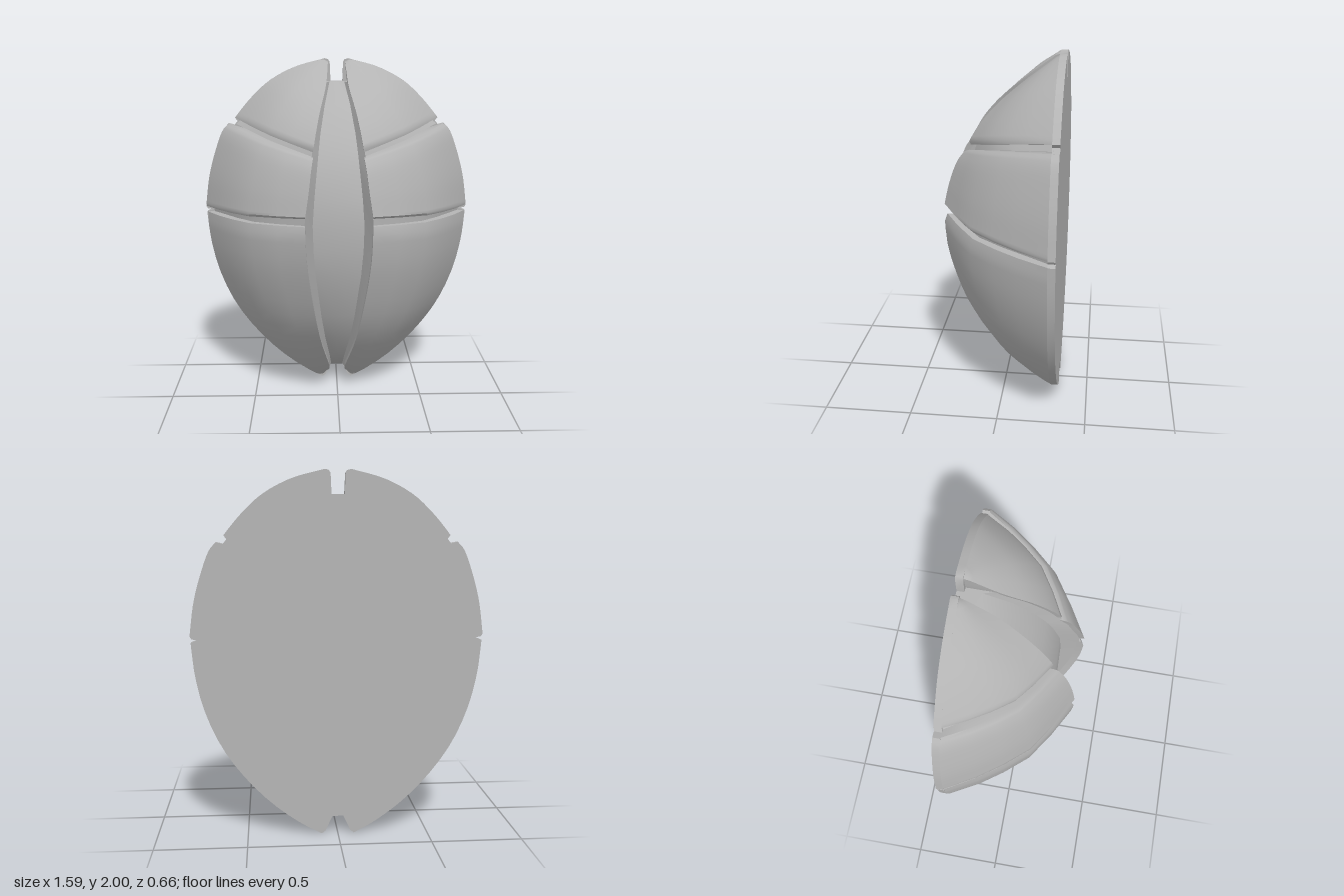
import * as THREE from 'three';
import { toCreasedNormals } from 'three/addons/utils/BufferGeometryUtils.js';

const RIM = -0.29, BACK = -0.33;
// Shell cross-section: [fraction from inner edge to rim, fraction of height]
const DOME = [[0, 1], [0.26, 0.86], [0.52, 0.69], [0.7, 0.48], [0.85, 0.27], [1, 0]];

// Each panel, top to bottom: inner edge [x, y, z] and rim [x, y]
const PANELS = [
  {
    name: 'upperPanel',
    inner: [[0.05, 1.985, -0.28], [0.065, 1.85, -0.1], [0.1, 1.72, 0.05], [0.125, 1.6, 0.15], [0.14, 1.51, 0.2]],
    rim: [[0.07, 2], [0.25, 1.95], [0.4, 1.87], [0.5, 1.78], [0.57, 1.7], [0.605, 1.655]],
  },
  {
    name: 'middlePanel',
    inner: [[0.14, 1.48, 0.21], [0.15, 1.42, 0.255], [0.165, 1.3, 0.3], [0.185, 1.165, 0.33]],
    rim: [[0.645, 1.62], [0.68, 1.58], [0.73, 1.45], [0.77, 1.3], [0.795, 1.12]],
  },
  {
    name: 'lowerPanel',
    inner: [[0.185, 1.12, 0.33], [0.18, 0.95, 0.32], [0.165, 0.8, 0.29], [0.125, 0.53, 0.2],
      [0.095, 0.36, 0.09], [0.06, 0.2, -0.06], [0.045, 0.11, -0.16], [0.06, 0.05, -0.27]],
    rim: [[0.79, 1.085], [0.77, 0.9], [0.72, 0.7], [0.63, 0.5], [0.5, 0.32], [0.35, 0.17], [0.2, 0.06], [0.09, 0]],
  },
];

const curve = (pts) => new THREE.CatmullRomCurve3(pts.map(([x, y, z = RIM]) => new THREE.Vector3(x, y, z)));

// Surface through rows of points (rows run downward, columns run to +x)
function sheet(rows, side = 1) {
  const pos = [], index = [], n = rows[0].length;
  rows.forEach((row) => row.forEach(([x, y, z]) => pos.push(x * side, y, z)));
  for (let j = 0; j < rows.length - 1; j++) {
    for (let i = 0; i < n - 1; i++) {
      const a = j * n + i, b = a + n, c = b + 1, d = a + 1;
      if (side > 0) index.push(a, b, c, a, c, d);
      else index.push(a, c, b, a, d, c);
    }
  }
  const g = new THREE.BufferGeometry();
  g.setAttribute('position', new THREE.Float32BufferAttribute(pos, 3));
  g.setIndex(index);
  return toCreasedNormals(g, 0.8);
}

// One domed row from an inner-edge point to a rim point, lowered by drop
function domeRow(p, q, drop = 0) {
  return DOME.map(([t, h]) => [
    p.x + (q.x - p.x) * t,
    p.y + (q.y - p.y) * t,
    Math.max(RIM - 0.01, RIM + (p.z - RIM) * h - drop),
  ]);
}

const foot = (row) => row.map(([x, y]) => [x, y, RIM - 0.01]);

// Raised panel with softened upper and lower edges and walls down to the base
function panelRows({ inner, rim }) {
  const ci = curve(inner), co = curve(rim);
  const steps = [0, 0.035];
  for (let k = 1; k < 14; k++) steps.push(k / 14);
  steps.push(0.965, 1);
  const rows = steps.map((v) => {
    const row = domeRow(ci.getPointAt(v), co.getPointAt(v), v === 0 || v === 1 ? 0.018 : 0);
    return [foot(row)[0], ...row];
  });
  return [foot(rows[0]), ...rows, foot(rows[rows.length - 1])];
}

// Floor of the groove between two neighbouring panels
function grooveRows(a, b) {
  const ends = [[a.inner.at(-1), a.rim.at(-1)], [b.inner[0], b.rim[0]]];
  return ends.map(([p, q]) =>
    domeRow(new THREE.Vector3(...p), new THREE.Vector3(q[0] - 0.04, q[1], RIM), 0.05));
}

// Sunken central band with sloping walls up to the panels
function spineRows() {
  // [y, half width, floor z, wall top z]
  const stations = [[1.87, 0.055, -0.2, -0.15], [1.75, 0.092, -0.06, 0], [1.6, 0.125, 0.05, 0.13], [1.5, 0.14, 0.11, 0.18],
    [1.4, 0.153, 0.15, 0.24], [1.25, 0.172, 0.19, 0.29], [1.1, 0.185, 0.2, 0.3], [0.95, 0.18, 0.19, 0.29], [0.8, 0.165, 0.165, 0.26],
    [0.53, 0.125, 0.07, 0.17], [0.36, 0.095, -0.03, 0.06], [0.2, 0.06, -0.16, -0.09], [0.1, 0.045, -0.26, -0.2]];
  const rows = stations.map(([y, w, floor, top]) => [
    [-w - 0.005, y, top], [-w * 0.78, y, floor], [0, y, floor + 0.005], [w * 0.78, y, floor], [w + 0.005, y, top],
  ]);
  return [foot(rows[0]), ...rows, foot(rows[rows.length - 1])];
}

// Flat back plate with notches between the panels
function backPlate() {
  const [top, mid, low] = PANELS.map((p) => curve(p.rim).getPoints(18).map((v) => [v.x, v.y]));
  const half = [[0.035, 1.87], [0.04, 1.98], [0.05, 1.995], ...top, [0.59, 1.635], [0.61, 1.61],
    ...mid, [0.785, 1.105], [0.755, 1.1], ...low, [0.07, 0.015], [0.03, 0.1]];
  const mirrored = half.map(([x, y]) => [-x, y]).reverse();
  const shape = new THREE.Shape([...half, ...mirrored].map(([x, y]) => new THREE.Vector2(x, y)));
  const g = new THREE.ExtrudeGeometry(shape, { depth: RIM - BACK, bevelEnabled: false });
  g.translate(0, 0, BACK);
  return toCreasedNormals(g, 0.6);
}

export function createModel() {
  const model = new THREE.Group();
  model.name = 'segmentedShell';
  const shellGrey = new THREE.MeshStandardMaterial({ color: 0xb4b4b4 });
  shellGrey.name = 'shell grey';

  const add = (name, geometry) => {
    const mesh = new THREE.Mesh(geometry, shellGrey);
    mesh.name = name;
    model.add(mesh);
  };

  add('backPlate', backPlate());
  add('centralSpine', sheet(spineRows()));
  for (const [side, suffix] of [[1, 'Left'], [-1, 'Right']]) {
    PANELS.forEach((panel, i) => {
      add(panel.name + suffix, sheet(panelRows(panel), side));
      if (i > 0) add('groove' + i + suffix, sheet(grooveRows(PANELS[i - 1], panel), side));
    });
  }
  return model;
}
